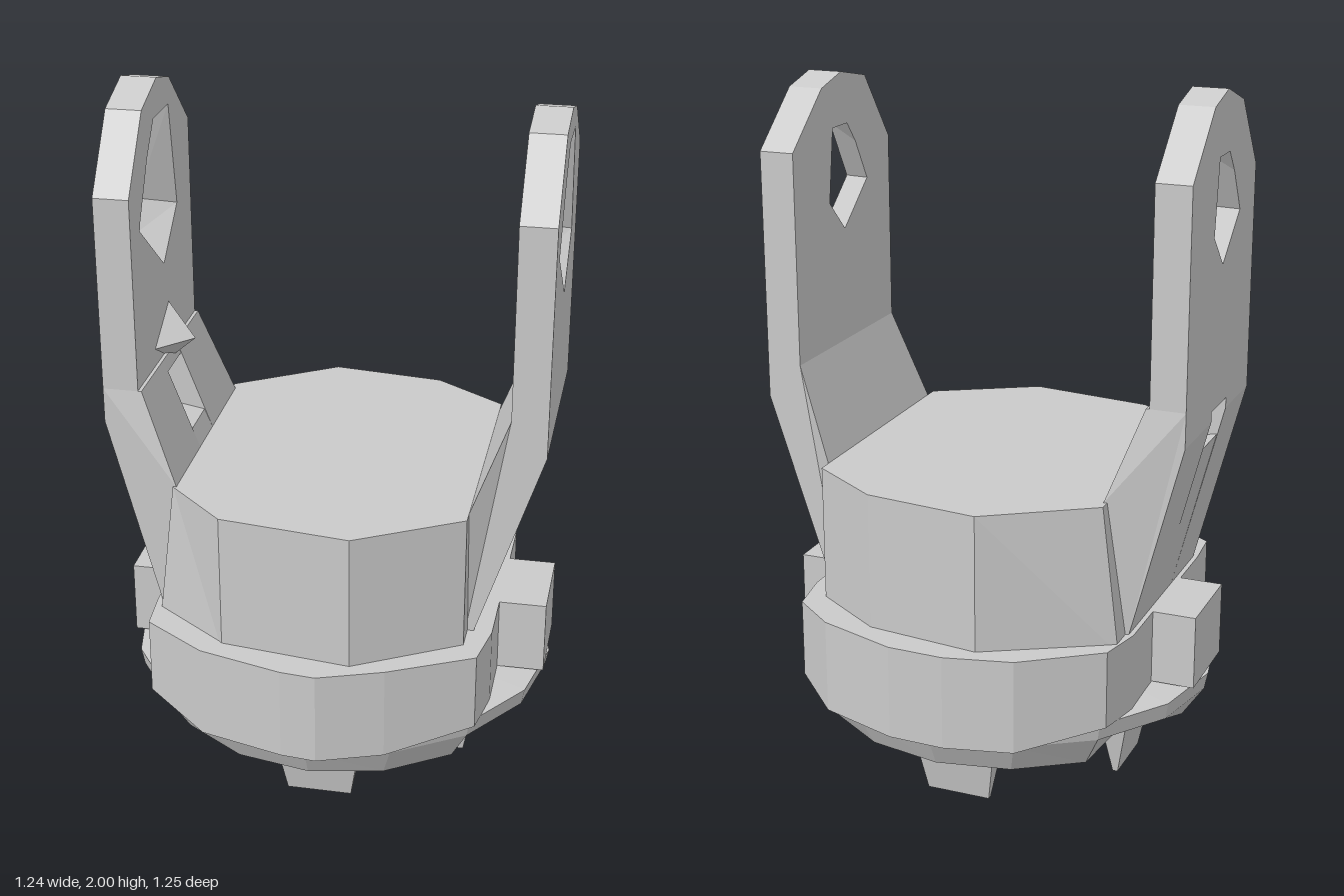
import * as THREE from 'three';

const material = new THREE.MeshStandardMaterial({ color: 0xcacaca, flatShading: true });
material.name = 'plain grey';

const toShape = pts => new THREE.Shape(pts.map(([x, y]) => new THREE.Vector2(x, y)));
const extrude = (shape, depth) => new THREE.ExtrudeGeometry(shape, { depth, bevelEnabled: false });

// Prism standing on y0, from an outline in x and z
function standing(pts, y0, y1, holeRadius = 0) {
  const shape = toShape(pts.map(([x, z]) => [x, -z]));
  if (holeRadius) {
    const hole = [];
    for (let i = 0; i < 12; i++) {
      const a = i / 12 * Math.PI * 2;
      hole.push([Math.cos(a) * holeRadius, Math.sin(a) * holeRadius]);
    }
    shape.holes.push(toShape(hole));
  }
  return extrude(shape, y1 - y0).rotateX(-Math.PI / 2).translate(0, y0, 0);
}

// Move each vertex by a rule
function bend(geometry, rule) {
  const p = geometry.attributes.position, v = new THREE.Vector3();
  for (let i = 0; i < p.count; i++) {
    rule(v.fromBufferAttribute(p, i));
    p.setXYZ(i, v.x, v.y, v.z);
  }
  geometry.computeVertexNormals();
  return geometry;
}

function add(group, name, geometry) {
  const mesh = new THREE.Mesh(geometry, material);
  mesh.name = name;
  group.add(mesh);
  return mesh;
}

// Slice of the lower arm: a side profile run from z0 to z1, flared where it meets the drum
function armSlice(pts, side, z0, z1) {
  const g = extrude(toShape(pts.map(([x, y]) => [x * side, y])), z1 - z0).translate(0, 0, z0);
  return bend(g, v => {
    if (v.y < 0.95 && v.y > 0.9 && Math.abs(v.z) > 0.2) v.z *= 1.13;
  });
}

function arm(side) {
  const group = new THREE.Group();
  group.name = side > 0 ? 'leftArm' : 'rightArm';
  const peak = side > 0 ? 1.98 : 2;

  // Upright plate with a rounded top and an eyelet that widens towards +x
  const plate = toShape([[-0.3, 1.2], [0.3, 1.2], [0.3, 1.8], [0.12, peak - 0.03],
    [0, peak], [-0.15, 1.95], [-0.3, 1.75]]);
  plate.holes.push(toShape([[-0.15, 1.65], [-0.08, 1.77], [-0.03, 1.83], [0.06, 1.83],
    [0.09, 1.62], [0, 1.53]]));
  const upper = extrude(plate, 0.1).rotateY(Math.PI / 2).translate(side > 0 ? 0.51 : -0.62, 0, 0);
  const wideFace = side > 0 ? 0.6 : -0.53;
  add(group, 'armPlate', bend(upper, v => {
    if (v.x > wideFace && Math.hypot(v.z, v.y - 1.68) < 0.2) {
      v.z *= v.z < 0 ? 1.7 : 1.45;
      v.y = 1.68 + (v.y - 1.68) * 1.45;
    }
  }));

  // Sloping lower arm; one side has a slot through the bend
  const outer = side > 0 ? 0.61 : 0.62, foot = side > 0 ? 0.42 : 0.47;
  const whole = [[0.51, 1.2], [0.41, 0.935], [0.4, 0.52], [foot, 0.52], [outer, 1.1], [outer, 1.2]];
  if (side > 0) {
    add(group, 'armSlope', armSlice(whole, side, -0.3, 0.3));
  } else {
    add(group, 'armSlope', armSlice(whole, side, -0.3, -0.06));
    add(group, 'armSlope', armSlice(whole, side, 0.08, 0.3));
    add(group, 'armBelowSlot', armSlice(
      [[0.433, 0.99], [0.41, 0.935], [0.4, 0.52], [foot, 0.52], [0.598, 1.02]], side, -0.06, 0.08));
    add(group, 'armAboveSlot', armSlice(
      [[0.51, 1.2], [0.498, 1.165], [outer, 1.13], [outer, 1.2]], side, -0.06, 0.08));
    // Small pointed lug on the inner face
    const lug = add(group, 'lug', new THREE.ConeGeometry(0.1, 0.09, 3));
    lug.rotation.z = -Math.PI / 2;
    lug.position.set(-0.475, 1.25, 0.02);
  }
  return group;
}

export function createModel() {
  const model = new THREE.Group();
  model.name = 'bracket';

  // Faceted drum
  add(model, 'drum', bend(standing([[-0.13, -0.56], [0.2, -0.52], [0.41, -0.38], [0.41, 0.38],
    [0.12, 0.55], [-0.25, 0.5], [-0.42, 0.34], [-0.42, -0.37]], 0.52, 0.935), v => {
    if (v.y < 0.6 && v.x < -0.4) v.x = -0.47;
  }));

  // Flange with flat sides, deeper at front and back
  add(model, 'flange', bend(standing([[-0.06, -0.625], [0.1, -0.62], [0.33, -0.54], [0.455, -0.44],
    [0.48, -0.3], [0.48, 0.3], [0.455, 0.44], [0.22, 0.56], [0.04, 0.625], [-0.06, 0.615],
    [-0.3, 0.55], [-0.48, 0.43], [-0.49, 0.3], [-0.49, -0.3], [-0.46, -0.43], [-0.25, -0.58]],
  0.32, 0.545, 0.38), v => {
    if (v.y < 0.4 && Math.abs(v.z) > 0.5) v.y = 0.275;
  }));

  // Hollow underside, its rim dented on both sides
  const profile = [[0, 0.46], [0.17, 0.46], [0.19, 0.29], [0.28, 0.27], [0.33, 0.18],
    [0.545, 0.175], [0.61, 0.27], [0.62, 0.32], [0.42, 0.335]];
  const base = new THREE.LatheGeometry(profile.map(([x, y]) => new THREE.Vector2(x, y)), 16);
  add(model, 'base', bend(base, v => {
    const k = Math.round(Math.atan2(v.z, v.x) / (Math.PI / 8));
    const r = Math.hypot(v.x, v.z);
    if (Math.abs(k) === 1 || Math.abs(k) === 7) {
      if (r > 0.5 && v.y < 0.2) { v.x *= 0.85; v.z *= 0.85; v.y += 0.03; }
    }
    if (k % 2 !== 0 && r > 0.3 && r < 0.4) v.y += 0.04;
    v.z *= r > 0.6 ? 0.96 : 0.985;
  }));

  // Side blocks and arms
  for (const side of [1, -1]) {
    add(model, 'sideBlock', new THREE.BoxGeometry(0.16, 0.215, 0.26).translate(side * 0.535, 0.4375, 0));
    model.add(arm(side));
  }

  // Four tapered feet
  for (let i = 0; i < 4; i++) {
    const foot = bend(new THREE.BoxGeometry(0.1, 0.22, 0.26).translate(0, 0.11, 0), v => {
      if (v.y < 0.1) { v.x *= 0.15; v.z *= 0.72; }
      v.x += 0.375;
    });
    add(model, 'foot', foot.rotateY(i * Math.PI / 2));
  }
  return model;
}
